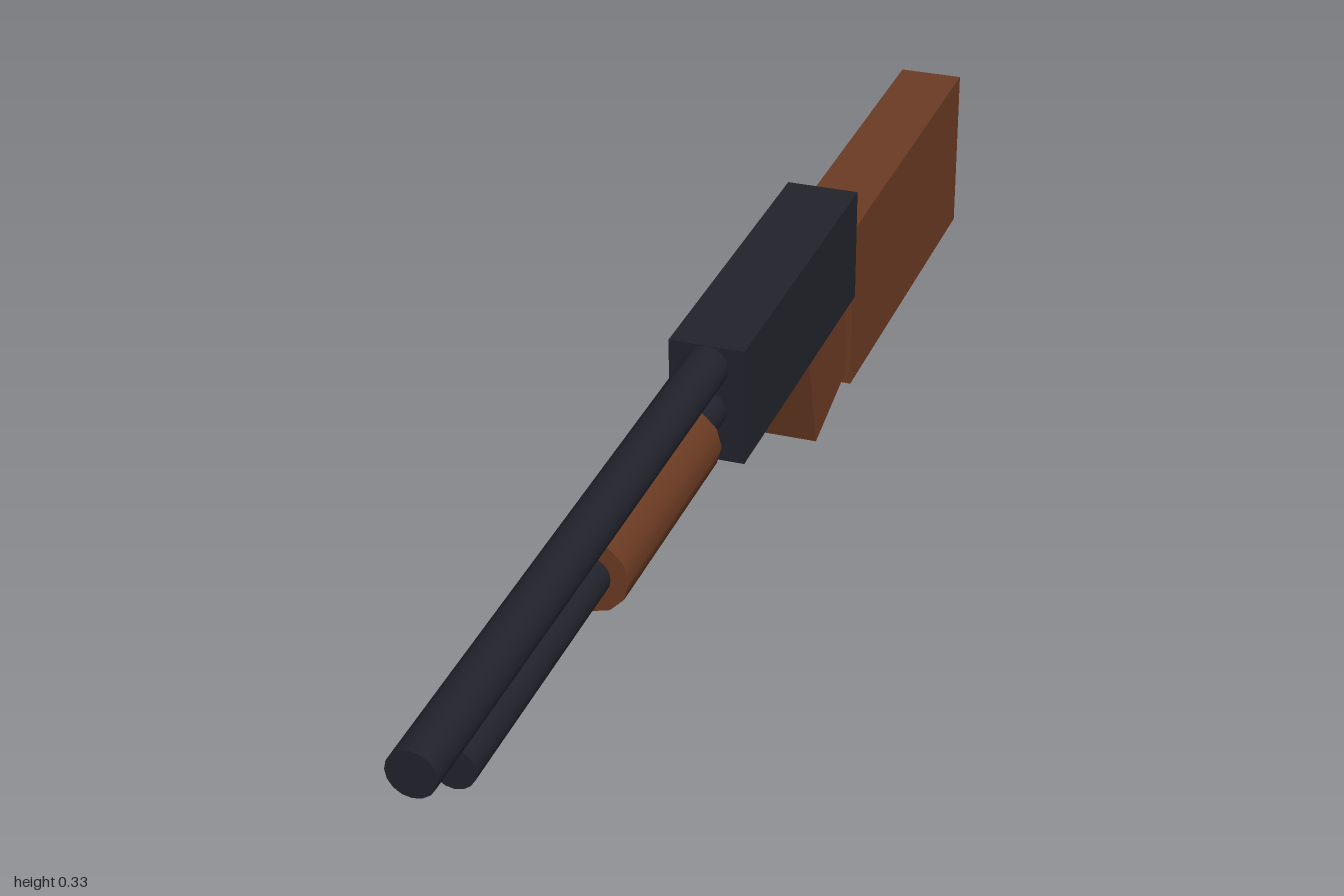
import * as THREE from 'three';

export function createModel() {
  const group = new THREE.Group();
  const metal = new THREE.MeshStandardMaterial({ color: 0x22222c });
  metal.name = 'dark metal';
  const wood = new THREE.MeshStandardMaterial({ color: 0x6b3b23 });
  wood.name = 'brown wood';

  function add(name, geometry, material, y, z) {
    const mesh = new THREE.Mesh(geometry, material);
    mesh.name = name;
    mesh.position.set(0, y, z);
    group.add(mesh);
    return mesh;
  }

  // Round part running along z between two ends
  function rod(name, radius, back, front, y, sides, material) {
    const geometry = new THREE.CylinderGeometry(radius, radius, front - back, sides);
    geometry.rotateX(Math.PI / 2);
    return add(name, geometry, material, y, (front + back) / 2);
  }

  // Body and shoulder stock
  add('receiver', new THREE.BoxGeometry(0.103, 0.166, 0.5), metal, 0.25, -0.165);
  add('stock', new THREE.BoxGeometry(0.095, 0.25, 0.585), wood, 0.147, -0.7075);

  // Grip, tilted so its foot points backward
  const grip = add('grip', new THREE.BoxGeometry(0.078, 0.167, 0.167), wood, 0.102, -0.334);
  grip.rotation.x = Math.PI / 12;

  // Barrel, magazine tube and sliding fore-end
  rod('barrel', 0.03, 0.08, 1, 0.303, 16, metal);
  rod('magazineTube', 0.027, 0.08, 0.9, 0.24, 16, metal);
  rod('foreEnd', 0.05, 0.17, 0.503, 0.24, 12, wood);

  return group;
}
